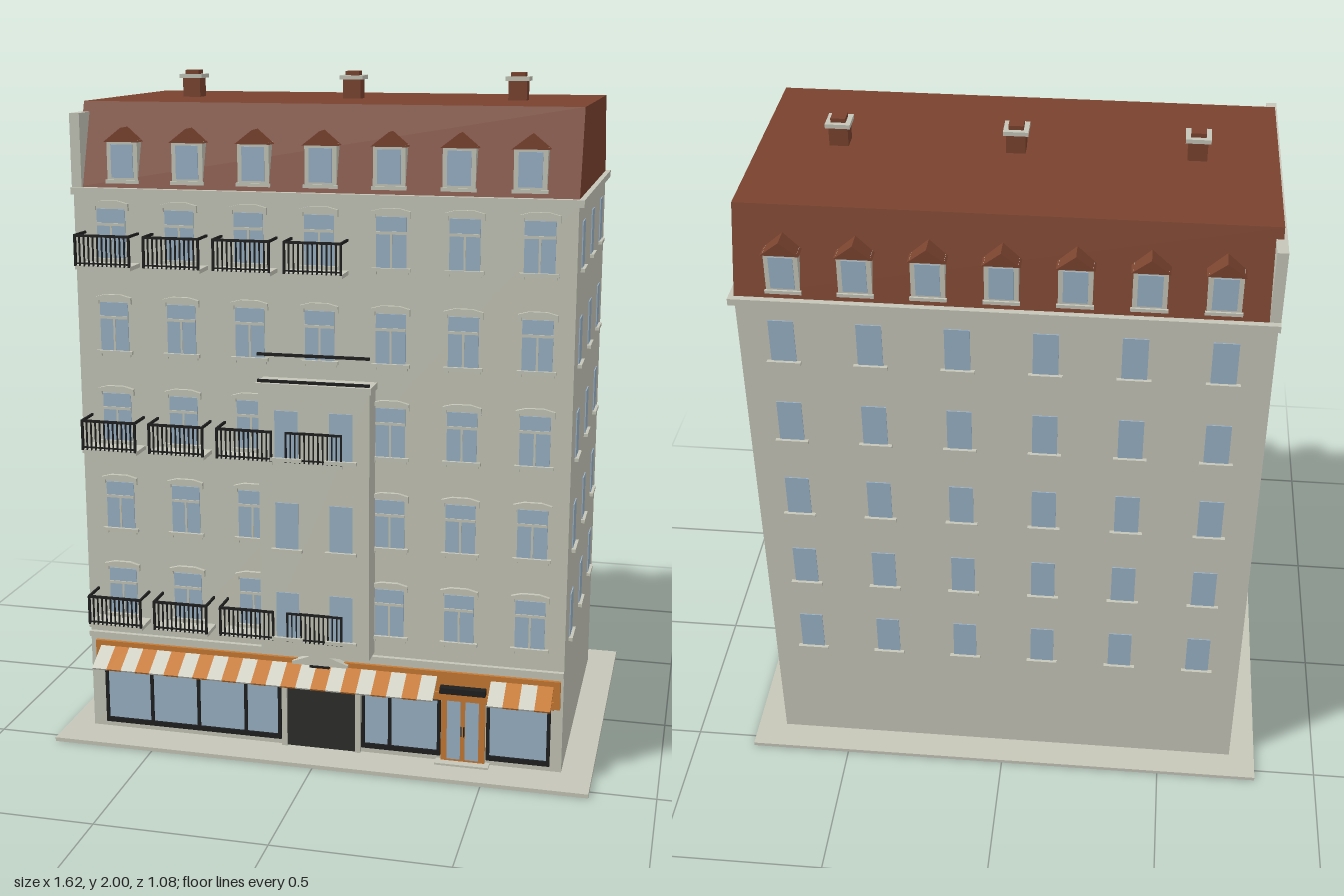
import * as THREE from 'three';

const mat = (name, color) => {
  const m = new THREE.MeshStandardMaterial({ color });
  m.name = name;
  return m;
};

export function createModel() {
  const M = {
    wall: mat('stone wall', 0xc6c7b9),
    roof: mat('roof tile', 0x7a432e),
    glass: mat('window glass', 0x9ab3c8),
    iron: mat('black iron', 0x1e1f1e),
    orange: mat('orange paint', 0xc87a33),
    pale: mat('pale awning cloth', 0xd2d2c6),
    door: mat('dark door', 0x2e2d2b),
  };
  const root = new THREE.Group();
  root.name = 'townhouse';

  // Box given by its bounds on each axis
  const box = (parent, name, m, x0, x1, y0, y1, z0, z1) => {
    const mesh = new THREE.Mesh(new THREE.BoxGeometry(x1 - x0, y1 - y0, z1 - z0), m);
    mesh.position.set((x0 + x1) / 2, (y0 + y1) / 2, (z0 + z1) / 2);
    mesh.name = name;
    parent.add(mesh);
    return mesh;
  };
  // Polygon extruded along +z from z0
  const prism = (parent, name, m, pts, z0, depth) => {
    const shape = new THREE.Shape(pts.map(p => new THREE.Vector2(...p)));
    const mesh = new THREE.Mesh(new THREE.ExtrudeGeometry(shape, { depth, bevelEnabled: false }), m);
    mesh.position.z = z0;
    mesh.name = name;
    parent.add(mesh);
    return mesh;
  };
  const group = (name, x, y, z, turn = 0, parent = root) => {
    const g = new THREE.Group();
    g.name = name;
    g.position.set(x, y, z);
    g.rotation.y = turn;
    parent.add(g);
    return g;
  };

  const X0 = -0.73, X1 = 0.72, ZF = 0.42, ZB = -0.45;
  const floors = [0, 1, 2, 3, 4].map(i => 0.39 + i * 0.272);

  // Pavement, body, cornices
  box(root, 'pavement', M.wall, -0.81, 0.81, 0, 0.012, -0.54, 0.54);
  box(root, 'body', M.wall, X0, X1, 0.012, 1.67, ZB, ZF);
  box(root, 'roofCornice', M.wall, -0.735, 0.735, 1.66, 1.68, -0.468, 0.432);
  box(root, 'shopCornice', M.wall, X0, X1, 0.308, 0.325, ZF, 0.434);
  box(root, 'partyWall', M.wall, -0.735, -0.705, 1.67, 1.89, ZB, ZF);

  // Mansard roof: profile in (-z, y) swept along x
  const roof = group('mansardRoof', -0.725, 0, 0, Math.PI / 2);
  prism(roof, 'roofShell', M.roof,
    [[-0.41, 1.68], [0.45, 1.68], [0.37, 1.92], [-0.33, 1.92]], 0, 1.445);

  // Chimneys
  for (const x of [-0.5, 0, 0.495]) {
    const c = group('chimney', x, 1.91, -0.0);
    box(c, 'chimneyStack', M.roof, -0.027, 0.027, 0, 0.07, -0.027, 0.027);
    box(c, 'chimneyCap', M.wall, -0.035, 0.035, 0.066, 0.078, -0.035, 0.035);
    box(c, 'chimneyPot', M.roof, -0.021, 0.021, 0.078, 0.09, -0.021, 0.021);
  }

  // Dormers on the front and back slopes
  for (const turn of [0, Math.PI]) {
    const side = group('dormerRow', 0, 0, -0.02, turn);
    for (let i = -3; i <= 3; i++) {
      const d = group('dormer', i * 0.195, 0, 0, 0, side);
      box(d, 'dormerFrame', M.wall, -0.046, 0.046, 1.695, 1.815, 0.35, 0.424);
      box(d, 'dormerGlass', M.glass, -0.033, 0.033, 1.708, 1.803, 0.424, 0.427);
      box(d, 'dormerSill', M.wall, -0.05, 0.05, 1.692, 1.702, 0.4, 0.43);
      prism(d, 'dormerRoof', M.roof, [[-0.052, 1.81], [0.052, 1.81], [0, 1.85]], 0.36, 0.071);
    }
  }

  // Window whose local +z points out of the wall, base at y = 0
  const addWindow = (x, y, z, turn, w, h, fancy, parent = root) => {
    const g = group('window', x, y, z, turn, parent);
    const a = w / 2;
    box(g, 'windowGlass', M.glass, -a, a, 0, h, 0, 0.003);
    box(g, 'windowSill', M.wall, -a - 0.012, a + 0.012, -0.01, 0, 0, 0.012);
    if (!fancy) return;
    box(g, 'transom', M.wall, -a, a, h * 0.66, h * 0.66 + 0.008, 0.002, 0.006);
    box(g, 'mullion', M.wall, -0.003, 0.003, 0, h * 0.66, 0.002, 0.005);
    prism(g, 'lintel', M.wall, [[-0.055, 0.15], [0.055, 0.15], [0.055, 0.158],
      [0.025, 0.166], [-0.025, 0.166], [-0.055, 0.158]], 0, 0.012);
    for (const s of [-1, 1]) {
      box(g, 'lintelBracket', M.wall, s * 0.05 - 0.005, s * 0.05 + 0.005, 0.138, 0.15, 0, 0.009);
      box(g, 'sillBracket', M.wall, s * 0.045 - 0.004, s * 0.045 + 0.004, -0.018, -0.01, 0, 0.008);
    }
  };
  const columns = [-3, -2, -1, 0, 1, 2, 3].map(i => i * 0.206);
  floors.forEach((y, f) => {
    for (const x of columns)
      if (x !== 0 || f > 2) addWindow(x, y, ZF, 0, 0.086, 0.142, true);
    for (const z of [0.27, -0.015, -0.305]) addWindow(X1, y, z, Math.PI / 2, 0.07, 0.13, false);
    for (let i = 0; i < 6; i++) addWindow(-0.6 + i * 0.24, y, ZB, Math.PI, 0.07, 0.13, false);
  });

  // Projecting bay with paired windows and a roof rail
  const bay = group('bay', 0, 0, 0);
  box(bay, 'bayBody', M.wall, -0.162, 0.162, 0.335, 1.135, ZF, 0.497);
  box(bay, 'bayCornice', M.wall, -0.168, 0.168, 1.132, 1.15, ZF, 0.505);
  for (const y of floors.slice(0, 3))
    for (const x of [-0.08, 0.08]) addWindow(x, y, 0.497, 0, 0.068, 0.137, false, bay);
  for (const y of [1.156, 1.233])
    box(bay, 'bayRail', M.iron, -0.163, 0.163, y - 0.004, y + 0.004, 0.494, 0.502);

  // Balconies on the first, third and fifth upper floors
  for (const f of [0, 2, 4]) {
    for (const x of columns.slice(0, 4)) {
      const b = group('balcony', x, floors[f] - 0.02, 0);
      box(b, 'balconySlab', M.wall, -0.084, 0.084, -0.004, 0.008, ZF, 0.499);
      box(b, 'frontRail', M.iron, -0.084, 0.084, 0.09, 0.097, 0.495, 0.502);
      box(b, 'bottomRail', M.iron, -0.084, 0.084, 0.012, 0.016, 0.496, 0.501);
      for (const s of [-1, 1])
        box(b, 'sideRail', M.iron, s * 0.081 - 0.003, s * 0.081 + 0.003, 0.09, 0.097, ZF, 0.5);
      for (let i = 0; i <= 12; i++) {
        const bx = -0.081 + i * 0.0135, r = i % 12 ? 0.0018 : 0.003;
        box(b, 'baluster', M.iron, bx - r, bx + r, 0.006, 0.095, 0.498 - r, 0.5 + r);
      }
    }
  }

  // Shopfront: fascia, framed windows, doors
  const shop = group('shopfront', 0, 0, 0);
  box(shop, 'fascia', M.orange, -0.712, 0.712, 0.21, 0.296, ZF, 0.43);
  box(shop, 'fasciaTrim', M.orange, -0.695, 0.695, 0.21, 0.234, 0.43, 0.436);
  const shopWindow = (x0, x1, bars) => {
    box(shop, 'shopGlass', M.glass, x0, x1, 0.035, 0.21, ZF, 0.424);
    box(shop, 'shopPlinth', M.iron, x0, x1, 0.03, 0.045, ZF, 0.43);
    box(shop, 'shopHead', M.iron, x0, x1, 0.203, 0.21, ZF, 0.428);
    for (const x of [x0 + 0.004, ...bars, x1 - 0.004])
      box(shop, 'shopMullion', M.iron, x - 0.005, x + 0.005, 0.03, 0.21, ZF, 0.429);
  };
  shopWindow(-0.685, -0.125, [-0.535, -0.385, -0.235]);
  shopWindow(0.125, 0.362, [0.21]);
  shopWindow(0.5, 0.685, []);
  box(shop, 'entranceDoor', M.door, -0.105, 0.105, 0.012, 0.208, ZF, 0.425);
  for (const s of [-1, 1])
    box(shop, 'entrancePilaster', M.wall, s * 0.113 - 0.008, s * 0.113 + 0.008, 0.012, 0.21, ZF, 0.432);
  prism(shop, 'entrancePediment', M.wall,
    [[-0.085, 0.283], [0.085, 0.283], [0.085, 0.291], [0, 0.322], [-0.085, 0.291]], ZF, 0.022);
  box(shop, 'entranceLamp', M.iron, -0.03, 0.03, 0.277, 0.284, 0.43, 0.445);

  // Orange shop door with two glazed leaves and a small dark canopy
  box(shop, 'shopDoor', M.orange, 0.365, 0.495, 0.012, 0.235, ZF, 0.43);
  for (const x of [0.403, 0.457])
    box(shop, 'doorGlass', M.glass, x - 0.02, x + 0.02, 0.025, 0.222, 0.43, 0.433);
  for (const x of [0.426, 0.434])
    box(shop, 'doorHandle', M.iron, x - 0.0015, x + 0.0015, 0.1, 0.13, 0.433, 0.438);
  box(shop, 'doorCanopy', M.iron, 0.363, 0.498, 0.238, 0.256, 0.43, 0.455);
  box(shop, 'doorStep', M.wall, 0.35, 0.51, 0.012, 0.018, ZF, 0.455);

  // Striped sloping awnings
  const addAwning = (x0, x1, n) => {
    const a = group('awning', 0, 0.257, 0.466);
    a.rotation.x = Math.atan2(0.045, 0.08);
    const w = (x1 - x0) / n;
    for (let i = 0; i < n; i++)
      box(a, 'awningStripe', i % 2 ? M.orange : M.pale,
        x0 + i * w, x0 + (i + 1) * w, -0.003, 0.003, -0.046, 0.046);
  };
  addAwning(-0.695, 0.352, 23);
  addAwning(0.51, 0.692, 4);

  return root;
}
